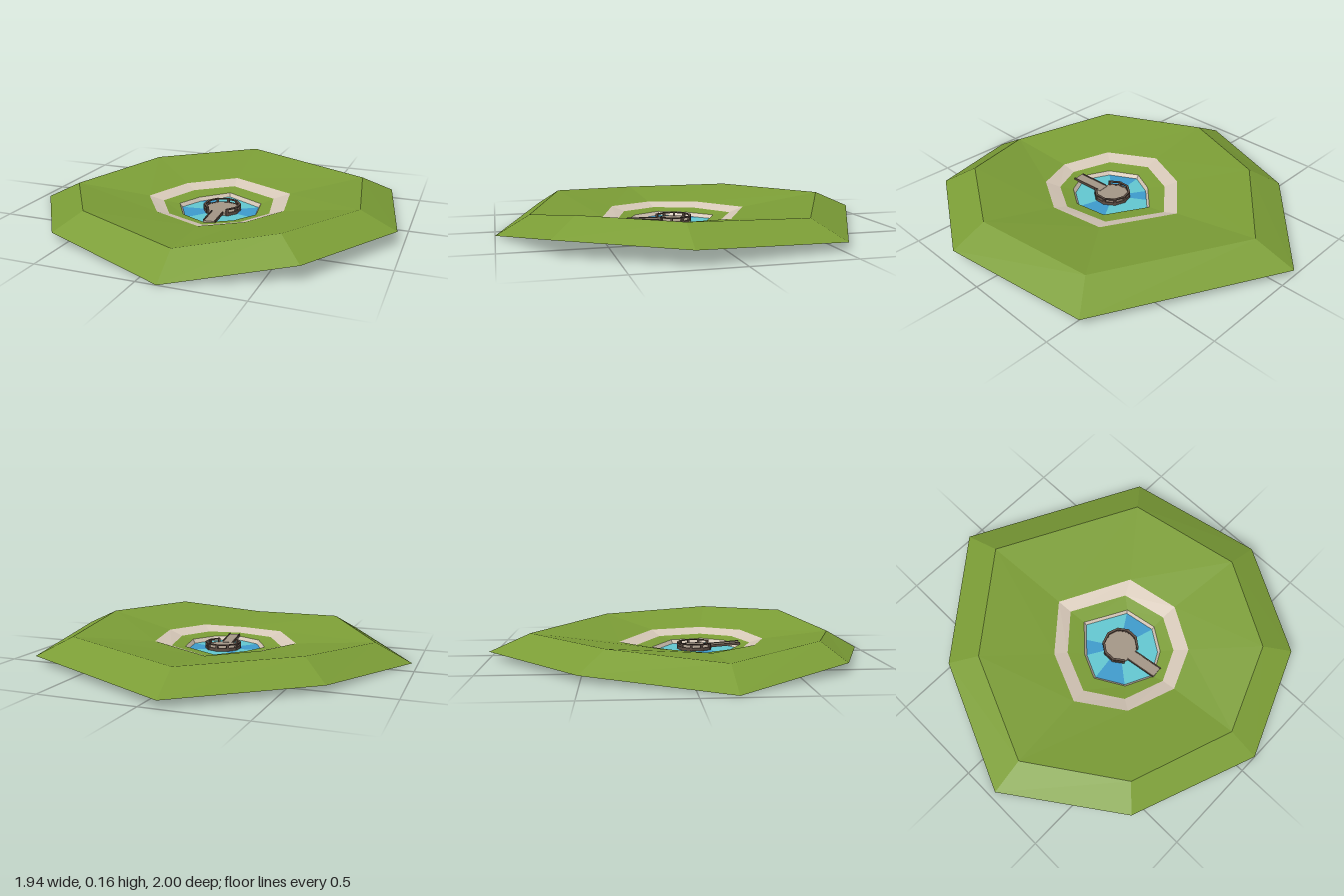
import * as THREE from 'three';

const mat = (name, color, double) => {
  const m = new THREE.MeshStandardMaterial({ color, flatShading: true });
  m.name = name;
  if (double) m.side = THREE.DoubleSide;
  return m;
};

// Octagonal contour loops [x, y, z], starting at the back, clockwise from above
const outerRim = [[-0.09, 0.04, -1], [0.84, 0.04, -0.53], [0.97, 0.077, 0.22], [0.65, 0.083, 0.77],
  [0.1, 0.003, 1], [-0.57, 0.05, 0.75], [-0.97, 0.003, 0.17], [-0.68, 0.035, -0.51]];
const ridge = [[-0.06, 0.13, -0.79], [0.69, 0.13, -0.41], [0.79, 0.16, 0.21], [0.53, 0.165, 0.65],
  [0.09, 0.1, 0.83], [-0.46, 0.138, 0.64], [-0.78, 0.1, 0.16], [-0.55, 0.13, -0.39]];
const pathOuter = [[-0.02, 0.071, -0.33], [0.35, 0.078, -0.14], [0.4, 0.083, 0.15], [0.27, 0.083, 0.37],
  [0.06, 0.066, 0.46], [-0.2, 0.076, 0.37], [-0.36, 0.067, 0.13], [-0.25, 0.073, -0.13]];
const pathInner = [[-0.01, 0.046, -0.25], [0.27, 0.052, -0.1], [0.32, 0.055, 0.14], [0.22, 0.055, 0.31],
  [0.055, 0.046, 0.385], [-0.16, 0.051, 0.31], [-0.28, 0.046, 0.12], [-0.19, 0.05, -0.09]];
const poolEdge = [[0, 0.037, -0.155], [0.22, 0.038, -0.035], [0.25, 0.04, 0.14], [0.17, 0.04, 0.26],
  [0.04, 0.037, 0.33], [-0.105, 0.038, 0.26], [-0.19, 0.037, 0.11], [-0.13, 0.038, -0.02]];
const poolCentre = [0.04, 0.018, 0.08];
const waterEdge = poolEdge.map(([x, , z]) =>
  [0.04 + (x - 0.04) * 0.94, 0.018, 0.08 + (z - 0.08) * 0.94]);

function triangles(points) {
  const g = new THREE.BufferGeometry();
  g.setAttribute('position', new THREE.Float32BufferAttribute(points.flat(), 3));
  g.computeVertexNormals();
  return g;
}

// Sheet spanning two matching loops
function band(a, b) {
  const pts = [];
  a.forEach((p, i) => {
    const j = (i + 1) % a.length;
    pts.push(a[j], p, b[i], a[j], b[i], b[j]);
  });
  return triangles(pts);
}

export function createModel() {
  const model = new THREE.Group();
  model.name = 'hillWithPool';
  const grass = mat('grass green', 0x7b9d36, true);
  const stone = mat('pale stone', 0xd6c8b8, true);
  const lightWater = mat('light water', 0x62c6d0, true);
  const darkWater = mat('dark water', 0x3d9acb, true);
  const deckMat = mat('deck taupe', 0xa39686);
  const railMat = mat('dark wood', 0x5c4c42);

  const add = (name, geometry, material, parent = model) => {
    const mesh = new THREE.Mesh(geometry, material);
    mesh.name = name;
    parent.add(mesh);
    return mesh;
  };

  // Ground sheet, path and pool wall
  add('outerSlope', band(outerRim, ridge), grass);
  add('innerSlope', band(ridge, pathOuter), grass);
  add('path', band(pathOuter, pathInner), stone);
  add('poolBank', band(pathInner, poolEdge), grass);
  add('poolWall', band(poolEdge, waterEdge), stone);

  // Water as a fan, with a few darker sectors
  const light = [], dark = [];
  waterEdge.forEach((p, i) => {
    const q = waterEdge[(i + 1) % 8];
    const mid = p.map((v, k) => (v + q[k]) / 2);
    const first = [1, 5, 7].includes(i) ? dark : light;
    const second = [1, 5].includes(i) ? dark : light;
    first.push(mid, p, poolCentre);
    second.push(q, mid, poolCentre);
  });
  add('lightWater', triangles(light), lightWater);
  add('darkWater', triangles(dark), darkWater);

  // Round viewing deck
  const cx = 0.043, cz = 0.083, r = 0.092, sides = 10;
  const deck = add('deck', new THREE.CylinderGeometry(r, r, 0.014, sides), deckMat);
  deck.position.set(cx, 0.028, cz);

  // Box beam between two points
  const beam = (name, a, b, width, height, material, parent) => {
    const d = b.clone().sub(a);
    const m = add(name, new THREE.BoxGeometry(width, height, d.length()), material, parent);
    m.position.copy(a).add(b).multiplyScalar(0.5);
    m.lookAt(b);
    return m;
  };

  // Footbridge from the deck to the bank, with edge strips
  const start = new THREE.Vector3(0.046, 0.032, 0.15);
  const end = new THREE.Vector3(0.067, 0.042, 0.33);
  beam('footbridge', start, end, 0.058, 0.01, deckMat);
  for (const s of [-1, 1]) {
    const off = new THREE.Vector3(s * 0.03, 0.003, 0.015);
    beam('bridgeEdge', start.clone().add(off), end.clone().add(off).setZ(end.z), 0.006, 0.014, railMat);
  }

  // Railing around the deck, open where the bridge joins
  const railing = new THREE.Group();
  railing.name = 'railing';
  model.add(railing);
  const corner = (i, y) => {
    const a = (i / sides) * Math.PI * 2;
    return new THREE.Vector3(cx + Math.sin(a) * r, y, cz + Math.cos(a) * r);
  };
  for (let i = 1; i < sides; i++) {
    if (i < sides - 1) {
      beam('topRail', corner(i, 0.053), corner(i + 1, 0.053), 0.012, 0.006, railMat, railing);
      beam('bottomRail', corner(i, 0.028), corner(i + 1, 0.028), 0.012, 0.016, railMat, railing);
    }
    const post = add('post', new THREE.BoxGeometry(0.012, 0.036, 0.012), railMat, railing);
    post.position.copy(corner(i, 0.038));
    post.rotation.y = (i / sides) * Math.PI * 2;
  }
  return model;
}
